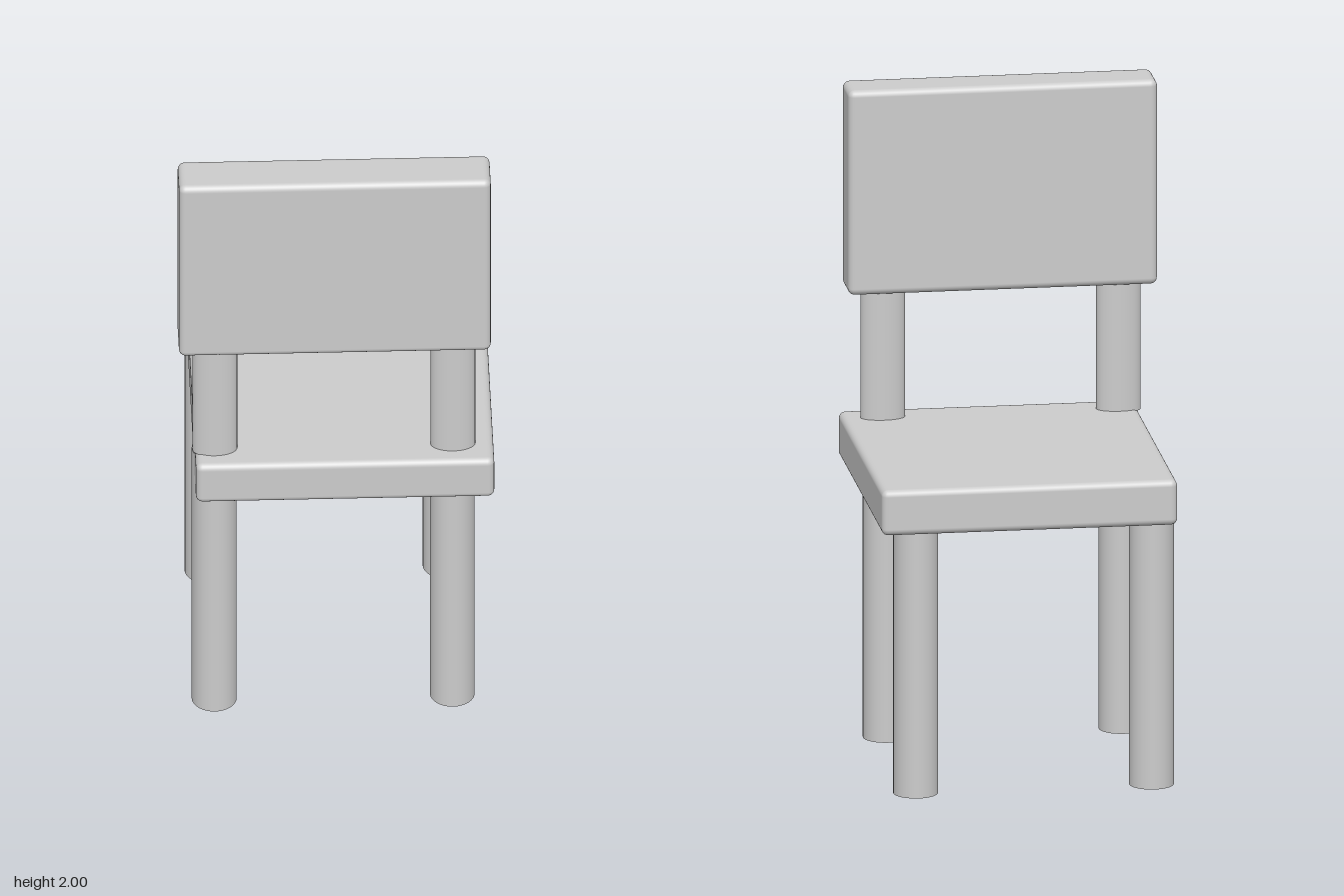
import * as THREE from 'three';
import { RoundedBoxGeometry } from 'three/addons/geometries/RoundedBoxGeometry.js';

const material = new THREE.MeshStandardMaterial({ color: 0xcccccc });

// Softly bevelled slab given by its size and centre
function slab(name, size, centre) {
  const mesh = new THREE.Mesh(new RoundedBoxGeometry(...size, 3, 0.02), material);
  mesh.name = name;
  mesh.position.set(...centre);
  return mesh;
}

// Upright post with an elliptical section
function post(name, x, z, bottom, top, radiusX, radiusZ) {
  const geometry = new THREE.CylinderGeometry(1, 1, top - bottom, 32);
  geometry.scale(radiusX, 1, radiusZ);
  const mesh = new THREE.Mesh(geometry, material);
  mesh.name = name;
  mesh.position.set(x, (bottom + top) / 2, z);
  return mesh;
}

export function createModel() {
  const chair = new THREE.Group();
  chair.name = 'chair';

  chair.add(slab('seat', [0.89, 0.14, 0.93], [0.024, 0.904, 0]));
  chair.add(slab('backrest', [0.93, 0.632, 0.143], [-0.006, 1.684, 0.378]));

  for (const [side, x] of [['right', -0.362], ['left', 0.348]]) {
    // Round legs under the seat
    for (const [end, z] of [['Backrest', 0.318], ['Open', -0.318]]) {
      chair.add(post(`${side}${end}Leg`, x, z, 0, 0.935, 0.067, 0.068));
    }
    // Flattened posts carrying the backrest
    chair.add(post(`${side}BackPost`, x, 0.373, 0.97, 1.42, 0.067, 0.04));
  }
  return chair;
}
